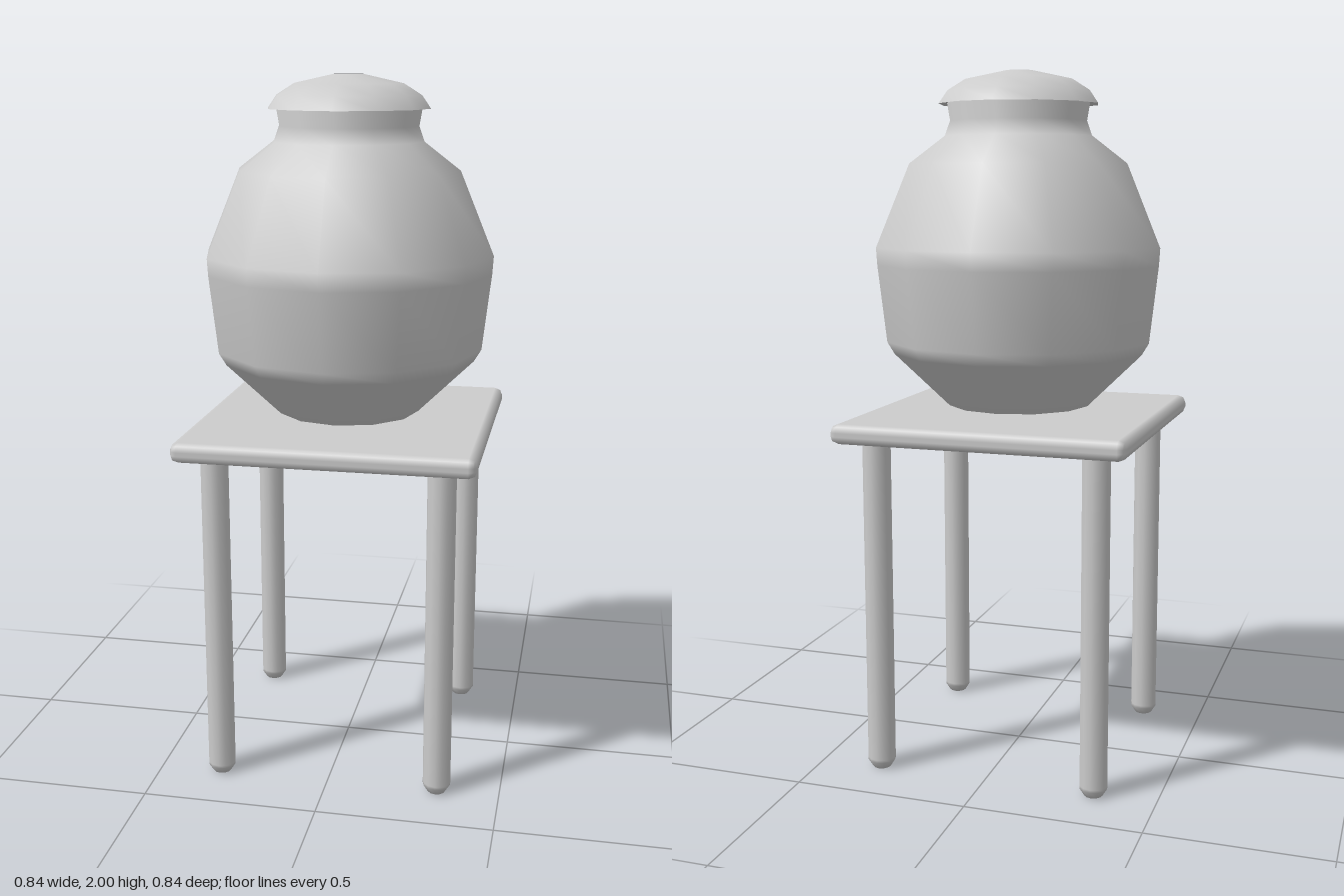
import * as THREE from 'three';
import { RoundedBoxGeometry } from 'three/addons/geometries/RoundedBoxGeometry.js';

const clay = new THREE.MeshStandardMaterial({ color: 0xcccccc, side: THREE.DoubleSide });
clay.name = 'light grey';

// Revolve a [radius, height] profile, listed from bottom to top
function turned(name, profile, sides = 12) {
  const points = profile.map(([r, y]) => new THREE.Vector2(r, y));
  const mesh = new THREE.Mesh(new THREE.LatheGeometry(points, sides), clay);
  mesh.name = name;
  return mesh;
}

export function createModel() {
  const model = new THREE.Group();
  model.name = 'jarOnStool';

  // Stool: chamfered seat on four round legs
  const stool = new THREE.Group();
  stool.name = 'stool';
  const seat = new THREE.Mesh(new RoundedBoxGeometry(0.844, 0.057, 0.844, 1, 0.023), clay);
  seat.name = 'seat';
  seat.position.y = 0.999;
  stool.add(seat);
  for (const x of [-0.32, 0.32]) {
    for (const z of [-0.32, 0.32]) {
      const leg = turned('leg', [[0, 0], [0.026, 0], [0.04, 0.022], [0.04, 0.03], [0.04, 0.965], [0.036, 0.975]]);
      leg.position.set(x, 0, z);
      stool.add(leg);
    }
  }
  model.add(stool);

  // Jar: twelve-sided body with narrow bevels at the belly and foot
  const jar = new THREE.Group();
  jar.name = 'jar';
  jar.add(turned('jarBase', [[0, 1.045], [0.208, 1.045]]));
  jar.add(turned('jarBody', [
    [0.208, 1.045], [0.367, 1.2], [0.388, 1.235], [0.413, 1.455], [0.416, 1.505],
    [0.318, 1.74], [0.215, 1.818], [0.2, 1.86], [0.208, 1.907], [0.195, 1.925],
  ]));

  // Lid: overhanging dome with a shallow recess at the crown
  jar.add(turned('lid', [[0.232, 1.907], [0.207, 1.943], [0.156, 1.975], [0.042, 2]]));
  jar.add(turned('lidLining', [[0.205, 1.918], [0.14, 1.957], [0.06, 1.976], [0, 1.976]]));
  jar.add(turned('lidUnderside', [[0.195, 1.918], [0.232, 1.907]]));
  model.add(jar);

  return model;
}
